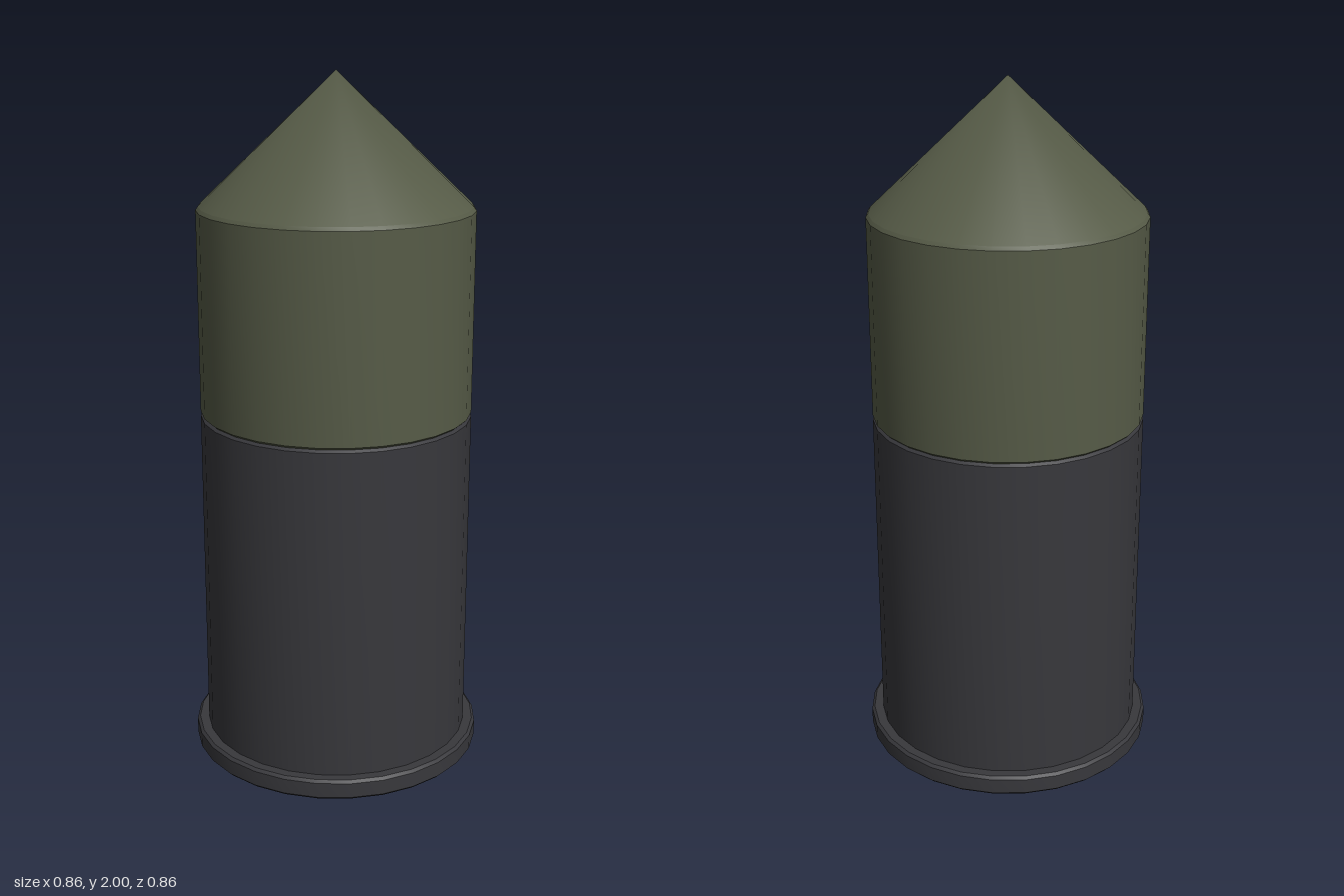
import * as THREE from 'three';
import { toCreasedNormals } from 'three/addons/utils/BufferGeometryUtils.js';

const SIDES = 28;
const charcoal = new THREE.MeshStandardMaterial({ color: 0x38383c });
const olive = new THREE.MeshStandardMaterial({ color: 0x565b47 });

// Turned part from an [radius, height] profile, listed bottom to top
function turned(name, profile, material) {
  const points = profile.map(([r, y]) => new THREE.Vector2(r, y));
  const geometry = toCreasedNormals(new THREE.LatheGeometry(points, SIDES), 0.5);
  const mesh = new THREE.Mesh(geometry, material);
  mesh.name = name;
  return mesh;
}

export function createModel() {
  const model = new THREE.Group();
  model.name = 'cartridge';

  // Base rim with bevelled edges
  model.add(turned('rim', [
    [0, 0], [0.42, 0], [0.428, 0.008], [0.428, 0.052], [0.42, 0.06], [0, 0.06],
  ], charcoal));

  // Lower casing, chamfered at the seam
  model.add(turned('casing', [
    [0.393, 0.06], [0.393, 1.027], [0.385, 1.034], [0, 1.034],
  ], charcoal));

  // Upper sleeve, chamfered at both ends
  model.add(turned('sleeve', [
    [0, 1.034], [0.385, 1.034], [0.393, 1.041], [0.393, 1.622], [0.386, 1.632],
  ], olive));

  // Pointed nose, shaded softly towards an upright normal at the tip
  const nose = turned('nose', [[0.386, 1.632], [0, 2]], olive);
  const { position, normal } = nose.geometry.attributes;
  for (let i = 0; i < position.count; i++) {
    if (position.getY(i) > 1.99) normal.setXYZ(i, 0, 1, 0);
  }
  model.add(nose);

  return model;
}
